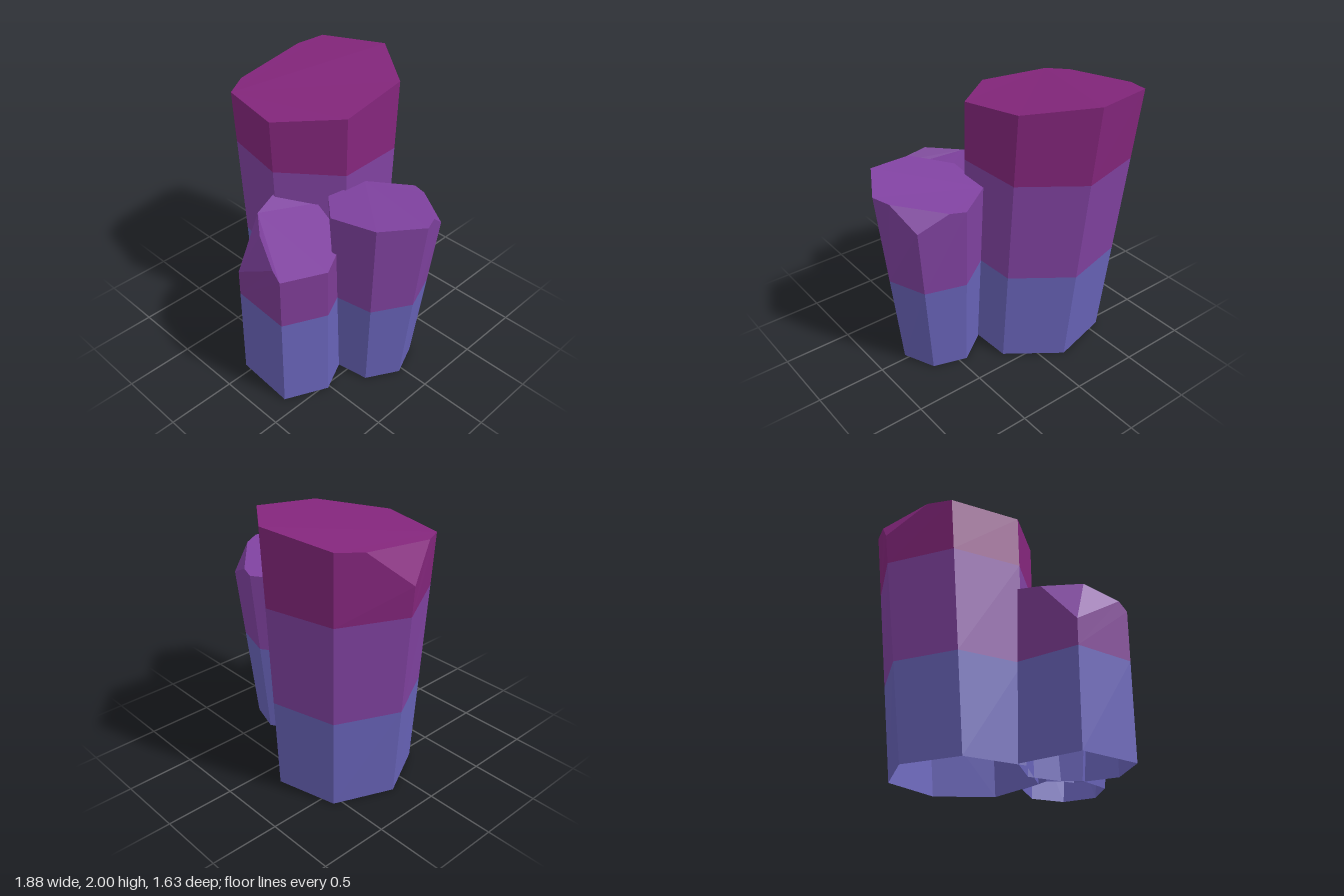
import * as THREE from 'three';

const paint = (name, color) => {
  const m = new THREE.MeshStandardMaterial({ color, side: THREE.DoubleSide });
  m.name = name;
  return m;
};

// Flat-shaded mesh from convex polygons, each fanned from its first corner
function facetMesh(name, polygons, material) {
  const pos = [];
  for (const p of polygons) {
    for (let i = 1; i < p.length - 1; i++) pos.push(...p[0], ...p[i], ...p[i + 1]);
  }
  const g = new THREE.BufferGeometry();
  g.setAttribute('position', new THREE.Float32BufferAttribute(pos, 3));
  g.computeVertexNormals();
  const mesh = new THREE.Mesh(g, material);
  mesh.name = name;
  return mesh;
}

// Crystal: open prism whose walls run from base [x, z] to top [x, y, z] corners (clockwise
// from above). One top corner is sliced off between the points "before" and "after".
function crystal(name, { base, top, cut, before, after, peak, levels, colours, tip }) {
  const group = new THREE.Group();
  group.name = name;
  const n = top.length;
  const at = (i, y) => {
    const t = y / top[i][1], [bx, bz] = base[i];
    return [bx + (top[i][0] - bx) * t, y, bz + (top[i][2] - bz) * t];
  };

  // wall bands, the last one reaching the rim
  levels.forEach((y0, k) => {
    const last = k === levels.length - 1;
    const walls = top.map((_, i) => {
      const j = (i + 1) % n;
      if (!last) return [at(j, y0), at(i, y0), at(i, levels[k + 1]), at(j, levels[k + 1])];
      const wall = [at(j, y0), at(i, y0), top[i]];
      if (i === cut) wall.push(after);
      if (j === cut) wall.push(before);
      return [...wall, top[j]];
    });
    group.add(facetMesh(['lowerWalls', 'middleWalls', 'upperWalls'][k], walls, colours[k]));
  });

  // cap and sliced facet
  const ridge = peak ? [before, peak, after] : [before, after];
  const rim = top.flatMap((p, i) => (i === cut ? ridge : [p]));
  const slice = [top[cut], before, ...(peak ? [peak] : []), after];
  group.add(facetMesh('cap', [rim.reverse()], tip));
  group.add(facetMesh('slicedFacet', [slice], tip));
  return group;
}

// Base ring: shrunken and shifted copy of the top ring
const shrink = (top, [tx, tz], [bx, bz], s) =>
  top.map(([x, , z]) => [bx + (x - tx) * s, bz + (z - tz) * s]);

export function createModel() {
  const blue = paint('crystal blue', 0x6863b8);
  const purple = paint('crystal purple', 0x8042a0);
  const plum = paint('crystal plum', 0x7d3c94);
  const magenta = paint('crystal magenta', 0x84267c);

  const model = new THREE.Group();
  model.name = 'crystalCluster';

  // tall crystal, leaning back and to the right side
  const tall = [
    [-0.94, 1.66, -0.21], [-0.74, 1.95, -0.69], [-0.23, 2.0, -0.82], [0.19, 1.95, -0.51],
    [0.21, 1.87, 0.02], [-0.19, 1.82, 0.35], [-0.7, 1.82, 0.25],
  ];
  model.add(crystal('tallCrystal', {
    top: tall, base: shrink(tall, [-0.34, -0.23], [-0.25, -0.16], 0.86),
    cut: 0, before: [-0.79, 1.84, 0.08], after: [-0.81, 1.92, -0.5],
    levels: [0, 0.7, 1.44], colours: [blue, purple, magenta], tip: magenta,
  }));

  // medium crystal, flaring upwards
  const medium = [
    [0.49, 1.31, -0.37], [0.81, 1.21, -0.27], [0.94, 1.39, 0.04], [0.77, 1.425, 0.34],
    [0.43, 1.39, 0.4], [0.19, 1.34, 0.18], [0.2, 1.305, -0.17],
  ];
  model.add(crystal('mediumCrystal', {
    top: medium, base: shrink(medium, [0.55, 0.02], [0.49, 0.02], 0.75),
    cut: 1, before: [0.6, 1.32, -0.335], after: [0.89, 1.375, -0.08],
    levels: [0, 0.7], colours: [blue, purple], tip: purple,
  }));

  // small upright crystal in front
  const small = [
    [-0.19, 1.25, 0.34], [0.05, 1.2, 0.15], [0.39, 1.12, 0.23],
    [0.53, 1.07, 0.52], [0.39, 1.07, 0.815], [-0.06, 0.89, 0.79],
  ];
  model.add(crystal('smallCrystal', {
    top: small, base: small.map(([x, , z]) => [x, z]),
    cut: 5, before: [0.32, 1.13, 0.81], peak: [0.09, 1.23, 0.71], after: [-0.14, 1.21, 0.53],
    levels: [0, 0.7], colours: [blue, plum], tip: purple,
  }));

  return model;
}
